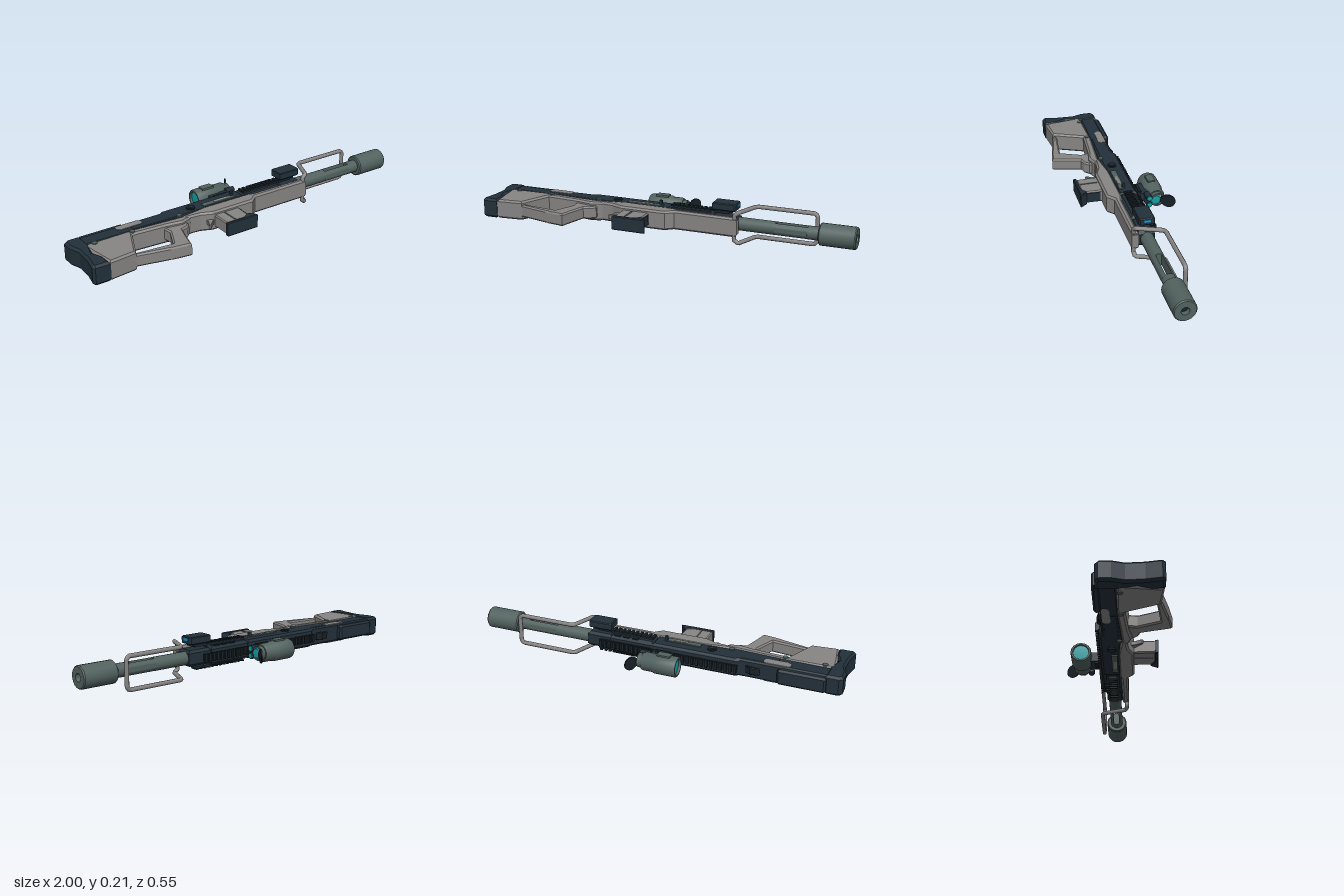
import * as THREE from 'three';
import { toCreasedNormals } from 'three/addons/utils/BufferGeometryUtils.js';

const MID = 0.097;   // height of the symmetry plane
const AXIS = -0.035; // z of the bore

export function createModel() {
  const model = new THREE.Group();
  const material = (name, color) => {
    const m = new THREE.MeshStandardMaterial({ color });
    m.name = name;
    return m;
  };
  const navy = material('dark navy', 0x22303a);
  const grey = material('warm grey', 0x878584);
  const slate = material('slate', 0x52625f);
  const black = material('near black', 0x182127);
  const teal = material('teal glass', 0x139fa5);
  const blue = material('blue light', 0x1597dd);

  const add = (name, geometry, mat, x = 0, y = 0, z = 0) => {
    const mesh = new THREE.Mesh(geometry, mat);
    mesh.name = name;
    mesh.position.set(x, y, z);
    model.add(mesh);
    return mesh;
  };
  // box given by its limits
  const box = (name, mat, x0, x1, y0, y1, z0, z1) =>
    add(name, new THREE.BoxGeometry(x1 - x0, y1 - y0, z1 - z0), mat, (x0 + x1) / 2, (y0 + y1) / 2, (z0 + z1) / 2);
  const vecs = (pts) => pts.map(([x, z]) => new THREE.Vector2(x, z));
  // bevelled slab with an outline in x and z, thick in y
  const slab = (name, mat, pts, half, bevel = 0.008, hole = null, y = MID) => {
    const shape = new THREE.Shape(vecs(pts));
    if (hole) shape.holes.push(new THREE.Path(vecs(hole)));
    const depth = 2 * (half - bevel);
    const g = new THREE.ExtrudeGeometry(shape, {
      depth, bevelEnabled: bevel > 0, bevelThickness: bevel, bevelSize: bevel, bevelOffset: -bevel, bevelSegments: 1,
    });
    g.translate(0, 0, -depth / 2).rotateX(Math.PI / 2);
    return add(name, g, mat, 0, y, 0);
  };
  // turned part along x, profile of [x, radius]
  const turned = (name, mat, profile, y = MID, z = AXIS, sides = 20) => {
    const g = new THREE.LatheGeometry(profile.map(([x, r]) => new THREE.Vector2(r, x)), sides);
    return add(name, toCreasedNormals(g.rotateZ(-Math.PI / 2), 0.6), mat, 0, y, z);
  };

  // --- stock ---
  slab('buttPad', navy, [[-1, -0.07], [-0.98, -0.085], [-0.91, -0.085], [-0.91, 0.02], [-0.935, 0.1], [-0.91, 0.16],
    [-0.91, 0.23], [-0.99, 0.23], [-1, 0.215], [-0.985, 0.14], [-0.98, 0.05], [-1, -0.01]], 0.053, 0.012);
  slab('stockTop', navy, [[-0.93, -0.075], [-0.4, -0.075], [-0.4, 0.03], [-0.66, 0.015], [-0.93, 0.01]], 0.049);
  slab('cheekRest', navy, [[-0.92, -0.095], [-0.91, -0.103], [-0.68, -0.103], [-0.67, -0.095], [-0.67, -0.06], [-0.92, -0.06]], 0.042, 0.01);
  slab('stockFrame', grey, [[-0.94, 0.01], [-0.66, 0.005], [-0.38, 0.025], [-0.36, 0.055], [-0.42, 0.075], [-0.5, 0.06],
    [-0.69, 0.045], [-0.765, 0.212], [-0.91, 0.226], [-0.93, 0.1]], 0.052, 0.01);
  slab('stockLowerBar', grey, [[-0.79, 0.185], [-0.745, 0.19], [-0.55, 0.212], [-0.53, 0.255], [-0.6, 0.25], [-0.765, 0.212]], 0.034);
  slab('grip', grey, [[-0.52, 0.045], [-0.39, 0.045], [-0.385, 0.08], [-0.41, 0.105], [-0.445, 0.115], [-0.465, 0.18],
    [-0.49, 0.27], [-0.6, 0.25], [-0.56, 0.21], [-0.51, 0.1]], 0.034);
  for (const s of [-1, 1]) {
    slab('stockSlot', grey, [[-0.73, -0.06], [-0.72, -0.068], [-0.6, -0.068], [-0.59, -0.06], [-0.59, -0.034],
      [-0.6, -0.026], [-0.71, -0.026], [-0.73, -0.04]], 0.003, 0, null, MID + s * 0.049);
    for (const [x, z] of [[-0.885, 0.025], [-0.68, 0.025], [-0.4, 0.01]])
      add('stockBolt', new THREE.CylinderGeometry(0.014, 0.014, 0.008, 12), slate, x, MID + s * 0.052, z);
  }

  // --- receiver ---
  slab('receiver', navy, [[-0.67, -0.07], [-0.48, -0.07], [-0.45, -0.09], [0.01, -0.09], [0.01, 0.012], [-0.4, 0.02],
    [-0.67, 0.012]], 0.05, 0.012);
  slab('lowerReceiver', grey, [[-0.4, 0.02], [-0.25, 0], [0.03, 0], [0.06, 0.01], [0.39, 0.012], [0.39, 0.046],
    [0.05, 0.046], [0.01, 0.08], [-0.24, 0.08], [-0.3, 0.055], [-0.4, 0.045]], 0.052, 0.01);
  for (const s of [-1, 1]) {
    box('ejectionPlate', slate, -0.24, -0.04, MID + s * 0.051 - 0.004, MID + s * 0.051 + 0.004, -0.034, -0.004);
    box('portCover', grey, -0.17, -0.09, MID + s * 0.053 - 0.004, MID + s * 0.053 + 0.004, -0.025, -0.008);
    add('selector', new THREE.CylinderGeometry(0.024, 0.024, 0.01, 16), black, -0.305, MID + s * 0.052, -0.03);
    add('selectorCap', new THREE.CylinderGeometry(0.012, 0.012, 0.014, 12), navy, -0.305, MID + s * 0.052, -0.03);
  }
  box('boltHandle', navy, -0.06, -0.045, 0.14, 0.175, -0.035, -0.02);
  slab('rearSightLever', black, [[-0.58, -0.085], [-0.53, -0.095], [-0.5, -0.08], [-0.5, -0.065], [-0.53, -0.075]], 0.02, 0.003);

  // --- trigger ---
  slab('trigger', grey, [[-0.27, 0.06], [-0.23, 0.075], [-0.255, 0.1], [-0.285, 0.128], [-0.293, 0.122], [-0.275, 0.09]], 0.012, 0.002);

  // --- magazine ---
  slab('magazine', grey, [[-0.23, 0.07], [-0.08, 0.07], [-0.085, 0.19], [-0.23, 0.19]], 0.034, 0.006);
  slab('magazineBase', navy, [[-0.235, 0.188], [-0.13, 0.188], [-0.09, 0.165], [-0.075, 0.165], [-0.05, 0.2], [-0.05, 0.205],
    [-0.235, 0.205]], 0.038, 0.004);
  box('magazineFront', navy, -0.086, -0.077, 0.07, 0.124, 0.09, 0.18);
  for (const s of [-1, 1])
    box('magazineRib', slate, -0.175, -0.167, MID + s * 0.034 - 0.003, MID + s * 0.034 + 0.003, 0.085, 0.18);

  // --- handguard and rails ---
  slab('handguard', navy, [[0, -0.085], [0.25, -0.085], [0.25, 0.015], [0, 0.015]], 0.05, 0.016);
  slab('handguardFront', navy, [[0.24, -0.075], [0.385, -0.075], [0.385, 0.018], [0.24, 0.018]], 0.042, 0.014);
  box('topRail', black, -0.46, 0.3, MID - 0.018, MID + 0.018, -0.096, -0.082);
  for (let i = 0; i < 30; i++) {
    const x = -0.46 + i * 0.0259;
    box('topRailTooth', black, x, x + 0.014, MID - 0.022, MID + 0.022, -0.106, -0.095);
  }
  for (const s of [-1, 1]) {
    const y = MID + s * 0.055;
    box('sideRail', navy, 0.02, 0.33, y - 0.004, y + 0.004, -0.052, -0.016);
    for (let i = 0; i < 13; i++) {
      const x = 0.01 + i * 0.025;
      box('sideRailTooth', black, x, x + 0.014, y + s * 0.007 - 0.004, y + s * 0.007 + 0.004, -0.056, -0.012);
    }
    for (const x of [0.08, 0.21]) box('railMount', slate, x, x + 0.04, y - 0.01, y + 0.002, -0.046, -0.022);
    for (let i = 0; i < 3; i++)
      box('handguardVent', black, 0.09 + i * 0.05, 0.125 + i * 0.05, MID + s * 0.05 - 0.003, MID + s * 0.05 + 0.003, -0.078, -0.06);
  }

  // --- barrel, slotted through in y ---
  const R = 0.035, SLOT = 0.016;
  turned('barrelRear', slate, [[0.3, 0], [0.3, R], [0.58, R], [0.58, 0]]);
  turned('barrelFront', slate, [[0.75, 0], [0.75, R], [0.83, R], [0.83, 0]]);
  const a = Math.asin(SLOT / R);
  const chord = new THREE.Shape();
  chord.absarc(0, 0, R, a, Math.PI - a);
  for (const s of [0, 1]) {
    const g = new THREE.ExtrudeGeometry(chord, { depth: 0.17, bevelEnabled: false, curveSegments: 8 });
    g.translate(0, 0, -0.085).rotateY(Math.PI / 2).rotateX(s ? Math.PI / 2 : -Math.PI / 2);
    add('barrelSlotWall', toCreasedNormals(g, 0.6), slate, 0.665, MID, AXIS);
  }
  turned('muzzleBrake', slate, [[0.81, 0], [0.81, 0.052], [0.816, 0.058], [0.994, 0.058], [1, 0.053], [1, 0.021], [0.96, 0.019]]);
  turned('bore', black, [[0.95, 0.02], [0.975, 0.02], [0.975, 0]]);

  // --- folded bipod loop ---
  const side = [[0.378, 0.034], [0.4, 0.03], [0.45, -0.095], [0.465, -0.106], [0.765, -0.106], [0.778, -0.106]];
  const lo = 0.012, hi = 0.177, c = 0.016;
  const loop = [];
  side.forEach(([x, z], i) => loop.push(new THREE.Vector3(x, i === 0 || i === 5 ? lo + c : lo, z)));
  [...side].reverse().forEach(([x, z], i) => loop.push(new THREE.Vector3(x, i === 0 || i === 5 ? hi - c : hi, z)));
  const path = new THREE.CurvePath();
  loop.forEach((p, i) => path.add(new THREE.LineCurve3(p, loop[(i + 1) % loop.length])));
  const rail = new THREE.CatmullRomCurve3(path.getSpacedPoints(140).slice(0, -1), true);
  add('bipodLoop', new THREE.TubeGeometry(rail, 160, 0.0115, 8, true), grey);
  box('bipodHinge', grey, 0.36, 0.395, 0.06, 0.134, 0.015, 0.046);

  // --- scope ---
  const SZ = -0.193;
  box('scopeMount', navy, -0.12, -0.01, MID - 0.024, MID + 0.024, -0.155, -0.1);
  box('scopeClamp', black, -0.105, -0.025, MID - 0.03, MID + 0.03, -0.122, -0.106);
  turned('scopeBody', slate, [[-0.165, 0.04], [-0.18, 0.042], [-0.18, 0.05], [-0.172, 0.054], [-0.06, 0.054], [-0.05, 0.049], [0, 0.049], [0.012, 0.044],
    [0.012, 0.038], [0.035, 0.038], [0.035, 0.03], [0.02, 0.027]], MID, SZ, 16);
  turned('scopeRearLens', teal, [[-0.172, 0], [-0.168, 0.042]], MID, SZ, 16);
  turned('scopeFrontLens', teal, [[0.024, 0.03], [0.036, 0.024], [0.039, 0]], MID, -0.186, 16);
  box('scopeSideBlock', slate, -0.14, -0.07, 0.14, 0.156, -0.21, -0.17);
  for (const s of [-1, 1]) {
    turned('sensor', navy, [[-0.01, 0], [-0.01, 0.017], [0.042, 0.017], [0.042, 0.013]], MID + s * 0.019, -0.147, 12);
    turned('sensorLens', teal, [[0.04, 0.015], [0.045, 0.013], [0.046, 0]], MID + s * 0.019, -0.147, 12);
  }
  const cap = add('lensCap', new THREE.CylinderGeometry(0.037, 0.037, 0.007, 20), black, 0.058, MID, -0.245);
  cap.scale.z = 1.08;
  cap.rotation.set(0, Math.PI / 2 - 1.05, Math.PI / 2, 'YXZ');
  cap.rotation.y = -0.53;
  box('capHinge', black, 0.025, 0.045, MID - 0.01, MID + 0.01, -0.222, -0.208);

  // --- laser module on the side rail ---
  slab('laserModule', navy, [[0.245, -0.072], [0.255, -0.078], [0.37, -0.078], [0.375, -0.07], [0.375, -0.002], [0.365, 0.005], [0.245, 0.005]],
    0.019, 0.004, null, 0.188);
  box('laserFoot', black, 0.27, 0.35, 0.155, 0.172, -0.056, -0.012);
  box('laserWindow', blue, 0.372, 0.379, 0.187, 0.2, -0.056, -0.022);

  return model;
}
